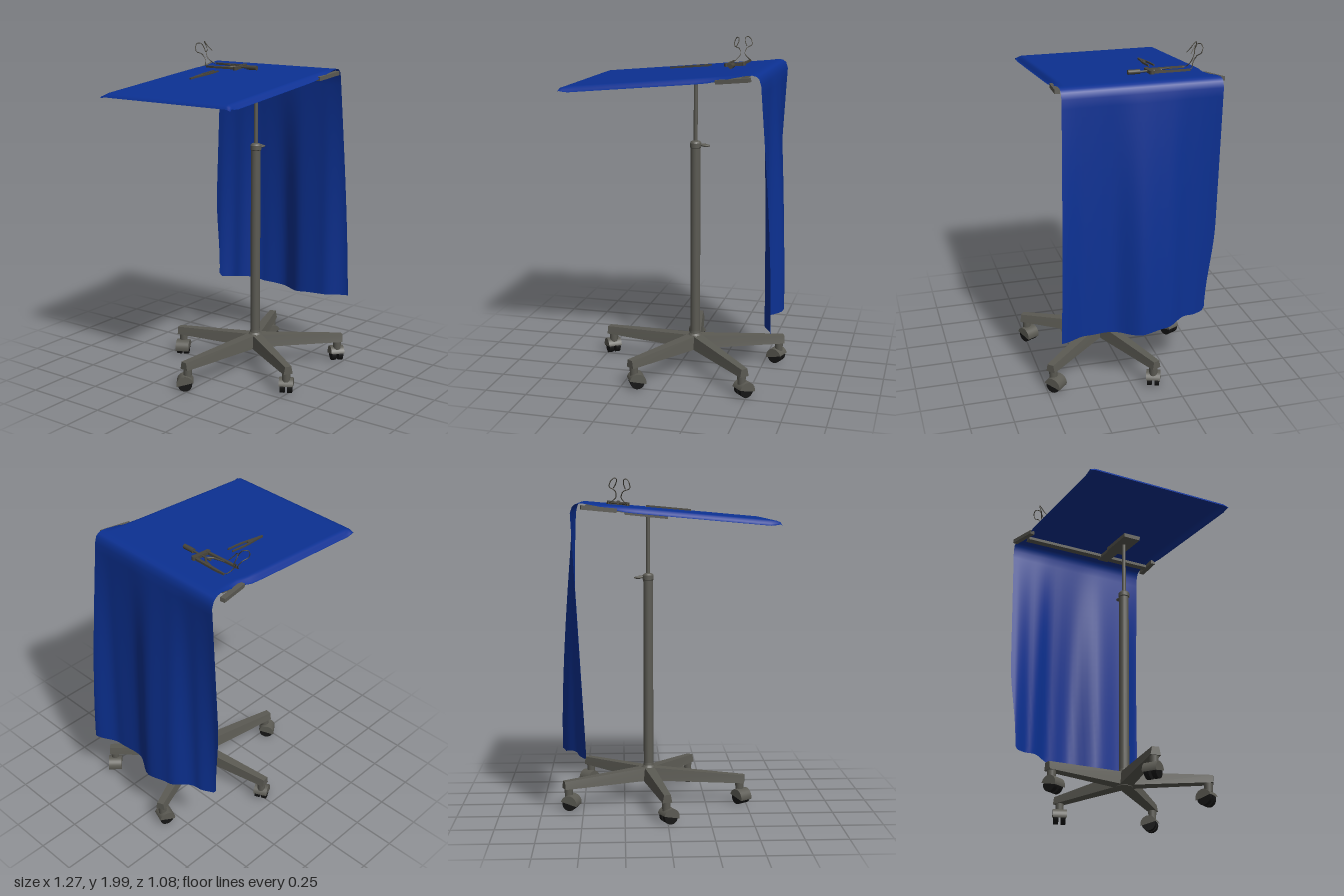
import * as THREE from 'three';

const V = (x, y, z) => new THREE.Vector3(x, y, z);
const mat = (name, color, extra = {}) => {
  const m = new THREE.MeshStandardMaterial({ color, ...extra });
  m.name = name;
  return m;
};

// smooth interpolation through [key, value] pairs with rising keys
function ease(pairs, k) {
  if (k <= pairs[0][0]) return pairs[0][1];
  for (let i = 1; i < pairs.length; i++) {
    const [k0, v0] = pairs[i - 1], [k1, v1] = pairs[i];
    if (k <= k1) return v0 + (v1 - v0) * THREE.MathUtils.smoothstep(k, k0, k1);
  }
  return pairs[pairs.length - 1][1];
}

export function createModel() {
  const model = new THREE.Group();
  const metal = mat('grey metal', 0x5b5a53);
  const tool = mat('dark steel', 0x47443b);
  const rubber = mat('black rubber', 0x151515);
  const blue = mat('blue cloth', 0x0c3193, { side: THREE.DoubleSide });

  const add = (name, geo, m, parent = model) => {
    const mesh = new THREE.Mesh(geo, m);
    mesh.name = name;
    parent.add(mesh);
    return mesh;
  };
  // round rod between two points
  const rod = (name, a, b, r0, r1, m, parent = model) => {
    const mesh = add(name, new THREE.CylinderGeometry(r1, r0, a.distanceTo(b), 16), m, parent);
    mesh.position.copy(a).lerp(b, 0.5);
    mesh.quaternion.setFromUnitVectors(V(0, 1, 0), b.clone().sub(a).normalize());
    return mesh;
  };
  const tube = (name, pts, r, m, parent = model) =>
    add(name, new THREE.TubeGeometry(new THREE.CatmullRomCurve3(pts), 32, r, 6), m, parent);
  const box = (name, w, h, d, x, y, z, m, parent = model) => {
    const mesh = add(name, new THREE.BoxGeometry(w, h, d), m, parent);
    mesh.position.set(x, y, z);
    return mesh;
  };

  // pole, collar and locking knob
  const cx = 0.1, cz = 0.08;
  const profile = [[0, 0.13], [0.05, 0.13], [0.05, 0.2], [0.032, 0.225], [0.03, 0.24], [0.03, 1.38],
    [0.034, 1.385], [0.034, 1.41], [0.026, 1.42], [0.012, 1.425], [0.012, 1.77], [0, 1.77]];
  profile.slice(1).forEach(([r, y], i) => {
    const [r0, y0] = profile[i];
    if (y > y0) rod('pole', V(cx, y0, cz), V(cx, y, cz), r0, r, metal);
  });
  rod('knobStem', V(cx, 1.4, cz), V(cx + 0.06, 1.4, cz), 0.008, 0.008, metal);
  const knob = add('knob', new THREE.SphereGeometry(0.026, 16, 10), metal);
  knob.scale.set(1, 0.3, 0.8);
  knob.position.set(cx + 0.062, 1.396, cz);

  // five tapered legs with swivel casters
  const ends = [[0.47, 0.46, 0.8], [-0.17, 0.49, 0.5], [-0.46, -0.02, 2.2], [0.01, -0.42, 3.6], [0.59, -0.12, 2.8]];
  for (const [x, z, swivel] of ends) {
    const len = Math.hypot(x - cx, z - cz) + 0.03;
    const leg = new THREE.Group();
    leg.name = 'leg';
    leg.position.set(cx, 0, cz);
    leg.rotation.y = Math.atan2(-(z - cz), x - cx);
    model.add(leg);
    const g = new THREE.BoxGeometry(len, 0.08, 0.08, 1, 1, 1);
    const p = g.attributes.position;
    for (let i = 0; i < p.count; i++) {
      const out = p.getX(i) > 0, top = p.getY(i) > 0;
      p.setXYZ(i, out ? len : 0, top ? (out ? 0.18 : 0.215) : 0.133,
        Math.sign(p.getZ(i)) * (top ? (out ? 0.02 : 0.032) : (out ? 0.029 : 0.042)));
    }
    g.computeVertexNormals();
    add('legBeam', g, metal, leg);
    rod('casterPost', V(len - 0.03, 0.08, 0), V(len - 0.03, 0.14, 0), 0.024, 0.026, metal, leg);

    const caster = new THREE.Group();
    caster.name = 'caster';
    caster.position.set(x, 0.045, z);
    caster.rotation.y = swivel;
    model.add(caster);
    for (const s of [-1, 1]) {
      const wheel = add('wheel', new THREE.CylinderGeometry(0.043, 0.043, 0.028, 20), rubber, caster);
      wheel.rotation.x = Math.PI / 2;
      wheel.position.set(0.015, 0, s * 0.022);
    }
    const hood = add('casterHood', new THREE.CylinderGeometry(0.051, 0.051, 0.084, 16, 1, false, 0, Math.PI), metal, caster);
    hood.rotation.set(Math.PI / 2, -0.3 - Math.PI / 2, 0, 'ZYX');
    hood.rotation.set(-Math.PI / 2, 0, 0);
    hood.geometry.rotateY(Math.PI / 2 - 2.9);
    hood.position.x = 0.015;
    hood.scale.set(1, 1, 1);
    hood.geometry.rotateY(0);
    hood.material = metal;
  }

  // support bracket and cross rail under the table
  const support = new THREE.Group();
  support.name = 'support';
  support.position.set(0.1, 1.785, cz);
  support.rotation.z = 0.1;
  model.add(support);
  box('bracket', 0.26, 0.025, 0.11, 0.01, -0.008, 0, metal, support);
  box('bracketArm', 0.3, 0.022, 0.07, 0.17, 0.002, 0, metal, support);
  box('crossRail', 0.05, 0.018, 0.86, 0.3, 0.008, -0.12, metal, support);
  const railBack = box('railEndBack', 0.2, 0.024, 0.03, 0.29, 0.01, -0.585, metal, support);
  railBack.rotation.y = 0.22;
  const railFront = box('railEndFront', 0.2, 0.024, 0.03, 0.29, 0.008, 0.322, metal, support);
  railFront.rotation.y = -0.08;

  // cloth: sloping top with drooping hems, then a long wavy fall on the left side
  const topY = (x) => 1.812 + 0.09 * x;
  const path = [[-0.635, 1.735], [-0.626, 1.75], [-0.604, 1.7575]];
  for (let i = 0; i <= 14; i++) {
    const x = -0.57 + i * 0.0735;
    path.push([x, topY(x)]);
  }
  path.push([0.495, 1.855], [0.518, 1.849], [0.534, 1.835], [0.545, 1.8]);
  const fall = 28, nz = 48, verts = [], idx = [];
  const hemX = [[-0.48, 0.47], [-0.36, 0.52], [-0.2, 0.6], [-0.05, 0.626], [0.12, 0.55], [0.28, 0.567], [0.44, 0.628]];
  const hemY = [[-0.48, 0.43], [-0.45, 0.4], [-0.3, 0.41], [-0.18, 0.385], [0, 0.37], [0.2, 0.385], [0.44, 0.39]];
  const rows = path.length + fall;
  for (let i = 0; i < rows; i++) {
    for (let j = 0; j <= nz; j++) {
      // rows gather toward both edges so the hems stay crisp
      const s = j / nz, v = 0.5 - 0.5 * Math.cos(Math.PI * s);
      if (i < path.length) {
        const [x, y] = path[i];
        const back = ease([[-0.64, -0.497], [0.23, -0.505], [0.3, -0.49], [0.45, -0.495], [0.54, -0.512]], x);
        const front = 0.425 - 0.02 * (x + 0.63);
        const z = back + (front - back) * v;
        const near = Math.min(z - back, front - z);
        const droop = 0.03 * (1 - THREE.MathUtils.smoothstep(near, 0, 0.035));
        verts.push(x, y - droop * (1 - THREE.MathUtils.smoothstep(x, 0.2, 0.5)) * THREE.MathUtils.smoothstep(x, -0.66, -0.58), z);
      } else {
        const t = (i - path.length + 1) / fall;
        const back = -0.512 + 0.042 * THREE.MathUtils.smoothstep(t, 0.6, 1);
        const front = 0.401 + 0.04 * t;
        const z = back + (front - back) * v;
        const dx = ease(hemX, z) - 0.545;
        const y = 1.8 + (ease(hemY, z) - 1.8) * t;
        verts.push(0.545 + dx * (dx > 0 ? Math.sin(t * Math.PI / 2) : t), y, z);
      }
      if (i < rows - 1 && j < nz) {
        const a = i * (nz + 1) + j, b = a + nz + 1;
        idx.push(a, a + 1, b, a + 1, b + 1, b);
      }
    }
  }
  const cloth = new THREE.BufferGeometry();
  cloth.setAttribute('position', new THREE.Float32BufferAttribute(verts, 3));
  cloth.setIndex(idx);
  cloth.computeVertexNormals();
  add('cloth', cloth, blue);

  // tweezers lying on the cloth
  const tweezers = new THREE.Group();
  tweezers.name = 'tweezers';
  tweezers.position.set(0, topY(0) + 0.008, -0.23);
  tweezers.rotation.z = 0.09;
  model.add(tweezers);
  for (const s of [-1, 1]) {
    const blade = new THREE.Shape([[-0.14, 0], [-0.09, 0.002], [-0.03, 0.008], [0.02, 0.012], [0.12, 0.013],
      [0.12, 0.019], [0.02, 0.021], [-0.03, 0.016], [-0.09, 0.009], [-0.14, 0.005]]
      .map(([x, y]) => new THREE.Vector2(x, y * s)));
    const g = new THREE.ExtrudeGeometry(blade, { depth: 0.01, bevelEnabled: false });
    add('tweezerBlade', g.rotateX(-Math.PI / 2), tool, tweezers);
  }
  box('tweezerJoint', 0.1, 0.01, 0.014, -0.07, 0.005, 0, tool, tweezers);

  // screw clamp with two arms and curled wires
  const clamp = new THREE.Group();
  clamp.name = 'clamp';
  clamp.position.set(0.28, topY(0.28) + 0.013, 0);
  clamp.rotation.z = 0.09;
  model.add(clamp);
  box('clampBar', 0.105, 0.018, 0.026, 0, 0, -0.166, tool, clamp);
  rod('screw', V(0, 0, -0.24), V(0, 0, -0.1), 0.006, 0.006, tool, clamp);
  rod('screwHandle', V(0, 0.001, -0.11), V(0, 0.001, -0.04), 0.014, 0.014, tool, clamp);
  for (const s of [-1, 1]) {
    const end = add('clampBarEnd', new THREE.CylinderGeometry(0.014, 0.014, 0.02, 16), tool, clamp);
    end.position.set(s * 0.052, 0, -0.166);
    const arm = new THREE.Shape([[0.04, 0.17], [0.043, 0.26], [0.046, 0.32], [0.05, 0.39], [0.056, 0.39],
      [0.062, 0.33], [0.06, 0.26], [0.058, 0.17]].map(([x, y]) => new THREE.Vector2(x * s, y)));
    const g = new THREE.ExtrudeGeometry(arm, { depth: 0.012, bevelEnabled: false });
    g.rotateX(-Math.PI / 2).translate(0, -0.006, 0);
    add('clampArm', g, tool, clamp);
    rod('clampLink', V(0, 0, -0.2), V(s * 0.03, 0, -0.235), 0.006, 0.006, tool, clamp);
    rod('clampLink', V(s * 0.03, 0, -0.235), V(s * 0.046, 0, -0.3), 0.006, 0.004, tool, clamp);
    tube('wire', [V(s * 0.053, 0, -0.37), V(s * 0.045, 0.005, -0.4), V(s * 0.015, 0.035, -0.42),
      V(s * 0.022, 0.07, -0.44), V(s * 0.056, 0.09, -0.455), V(s * 0.052, 0.12, -0.465),
      V(s * 0.036, 0.14, -0.46), V(s * 0.02, 0.135, -0.44), V(s * 0.022, 0.11, -0.42),
      V(s * 0.034, 0.085, -0.4)], 0.0028, tool, clamp);
  }
  return model;
}
